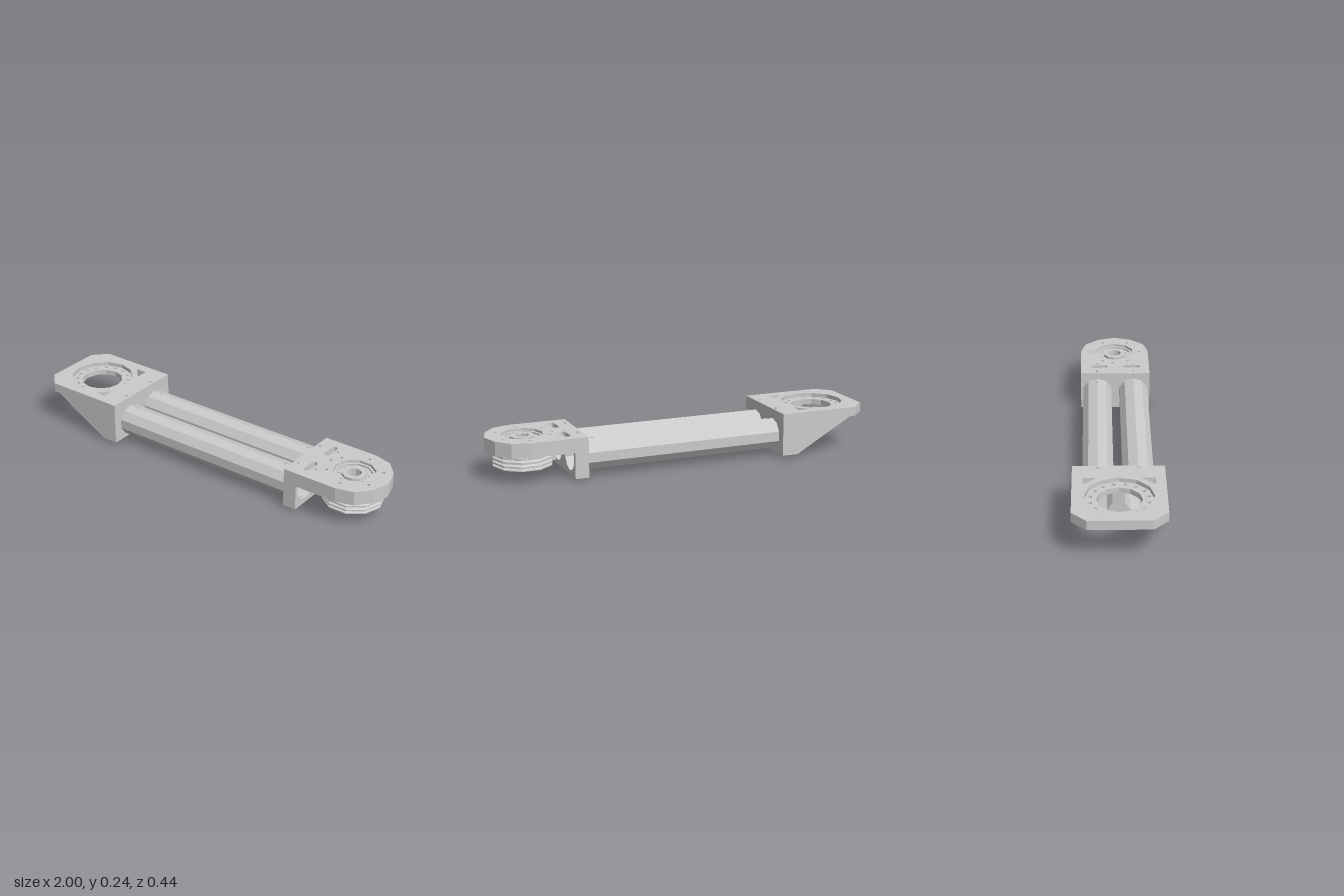
import * as THREE from 'three';

const mat = new THREE.MeshStandardMaterial({ color: 0xcccccc, flatShading: true });

// Points of a regular polygon, a low-poly circle
function ring(cx, cy, r, n, start = 0) {
  return Array.from({ length: n }, (_, i) => {
    const a = start + (i / n) * Math.PI * 2;
    return new THREE.Vector2(cx + r * Math.cos(a), cy + r * Math.sin(a));
  });
}
const pts = (list) => list.map(([x, y]) => new THREE.Vector2(x, y));

function extrude(outline, holes, depth) {
  const shape = new THREE.Shape(outline);
  holes.forEach((h) => shape.holes.push(new THREE.Path(h)));
  return new THREE.ExtrudeGeometry(shape, { depth, bevelEnabled: false });
}
// Outline in (x, z), thickness along y
const slab = (outline, holes, y0, y1) =>
  extrude(outline, holes, y1 - y0).rotateX(-Math.PI / 2).translate(0, y0, 0);
// Outline in (z, y), thickness along x
const crossPlate = (outline, holes, x0, x1) =>
  extrude(outline, holes, x1 - x0).rotateY(Math.PI / 2).translate(x0, 0, 0);

const rect = (w, y0, y1) => pts([[-w, y0], [w, y0], [w, y1], [-w, y1]]);

export function createModel() {
  const model = new THREE.Group();
  const add = (parent, name, geometry) => {
    const mesh = new THREE.Mesh(geometry, mat);
    mesh.name = name;
    parent.add(mesh);
    return mesh;
  };
  const group = (name) => {
    const g = new THREE.Group();
    g.name = name;
    model.add(g);
    return g;
  };
  const sides = [-1, 1];
  const TUBE_Z = 0.098, TUBE_Y = 0.105;
  const tubeHoles = (r) => sides.map((s) => ring(s * TUBE_Z, TUBE_Y, r, 10, Math.PI / 2));

  // Twin hollow tubes
  const tubes = group('tubes');
  for (const s of sides) {
    add(tubes, 'tube', crossPlate(
      ring(s * TUBE_Z, TUBE_Y, 0.08, 10, Math.PI / 2),
      [ring(s * TUBE_Z, TUBE_Y, 0.073, 10, Math.PI / 2)], -0.51, 0.53));
    // Small screws close to the tube ends
    for (const x of [-0.46, 0.48]) {
      add(tubes, 'tubeScrew', new THREE.CylinderGeometry(0.006, 0.006, 0.012, 8)
        .translate(x, 0.183, s * TUBE_Z));
    }
  }

  // Large bracket: plate with stepped bearing seat
  const mount = group('mountBracket');
  const cx = -0.786;
  const plate = pts([[-1, -0.15], [-0.93, -0.221], [-0.51, -0.221],
    [-0.51, 0.221], [-0.93, 0.221], [-1, 0.15]]);
  const windows = sides.map((s) => pts([[-0.685, s * 0.17], [-0.625, s * 0.17], [-0.625, s * 0.105]]));
  const boltHoles = ring(cx, 0, 0.137, 16, Math.PI / 16).map((p) => ring(p.x, p.y, 0.01, 8));
  add(mount, 'seatPlate', slab(plate, [ring(cx, 0, 0.108, 12), ...boltHoles, ...windows], 0.185, 0.212));
  add(mount, 'topPlate', slab(plate, [ring(cx, 0, 0.163, 12), ...windows], 0.212, 0.233));
  add(mount, 'endBlock', crossPlate(rect(0.221, 0.013, 0.185), tubeHoles(0.073), -0.6, -0.51));
  // Sloping side walls
  for (const s of sides) {
    add(mount, 'sideWall', extrude(
      pts([[-0.9, 0.185], [-0.595, 0.013], [-0.56, 0.013], [-0.56, 0.185]]), [], 0.02)
      .translate(0, 0, s * 0.211 - 0.01));
  }

  // Small bracket: rounded head plate on an end block
  const head = group('headBracket');
  const hx = 0.81;
  const headOutline = pts([[0.6, -0.187], [0.82, -0.187], [0.91, -0.163], [0.972, -0.092], [1, 0],
    [0.972, 0.092], [0.91, 0.163], [0.82, 0.187], [0.6, 0.187]]);
  const slots = sides.map((s) => pts([[0.603, 0.055], [0.612, 0.042], [0.626, 0.042], [0.635, 0.055],
    [0.635, 0.125], [0.626, 0.138], [0.612, 0.138], [0.603, 0.125]]
    .map(([x, z]) => [x, s * z])));
  const headBolts = ring(hx, 0, 0.135, 6, Math.PI / 6).map((p) => ring(p.x, p.y, 0.009, 8));
  add(head, 'headPlate', slab(headOutline,
    [ring(hx, 0, 0.105, 10), ring(0.665, 0.015, 0.009, 8), ...slots, ...headBolts,
      ...sides.map((s) => ring(0.652, s * 0.1, 0.007, 8))], 0.142, 0.215));
  add(head, 'endBlock', crossPlate(rect(0.187, 0.01, 0.215), tubeHoles(0.073), 0.53, 0.6));

  // Clamp screws through both end blocks
  const screws = group('clampScrews');
  for (const s of sides) {
    for (const [x, y0, y1] of [[-0.53, 0.005, 0.24], [0.555, 0, 0.224]]) {
      for (const [y, h] of [[y0 + 0.008, 0.016], [y1 - 0.008, 0.016]]) {
        add(screws, 'screw', new THREE.CylinderGeometry(0.007, 0.007, h, 8)
          .translate(x, y, s * 0.098));
      }
    }
  }

  // Grooved pulley with hollow hub, turned as one closed profile
  const pulley = group('pulley');
  pulley.position.x = hx;
  const profile = [[0.035, 0.056], [0.055, 0.056], [0.055, 0.05], [0.09, 0.05], [0.09, 0.06],
    [0.146, 0.06], [0.152, 0.064], [0.152, 0.07]];
  for (const y of [0.08, 0.101, 0.122]) {
    profile.push([0.142, y - 0.006], [0.142, y - 0.003], [0.152, y], [0.152, y + 0.008]);
  }
  profile.push([0.142, 0.134], [0.142, 0.141], [0.103, 0.141], [0.103, 0.203], [0.09, 0.203],
    [0.09, 0.195], [0.062, 0.195], [0.062, 0.208], [0.035, 0.208], [0.035, 0.056]);
  add(pulley, 'pulleyWheel', new THREE.LatheGeometry(pts(profile), 10).rotateY(Math.PI / 2));
  // Hub screws, under and on top
  for (const p of ring(0, 0, 0.072, 8, Math.PI / 8)) {
    for (const y of [0.049, 0.196]) {
      add(pulley, 'hubScrew', new THREE.CylinderGeometry(0.007, 0.007, 0.006, 8).translate(p.x, y, p.y));
    }
  }
  add(pulley, 'cableClip', new THREE.BoxGeometry(0.025, 0.055, 0.03).translate(-0.153, 0.095, 0));

  return model;
}
